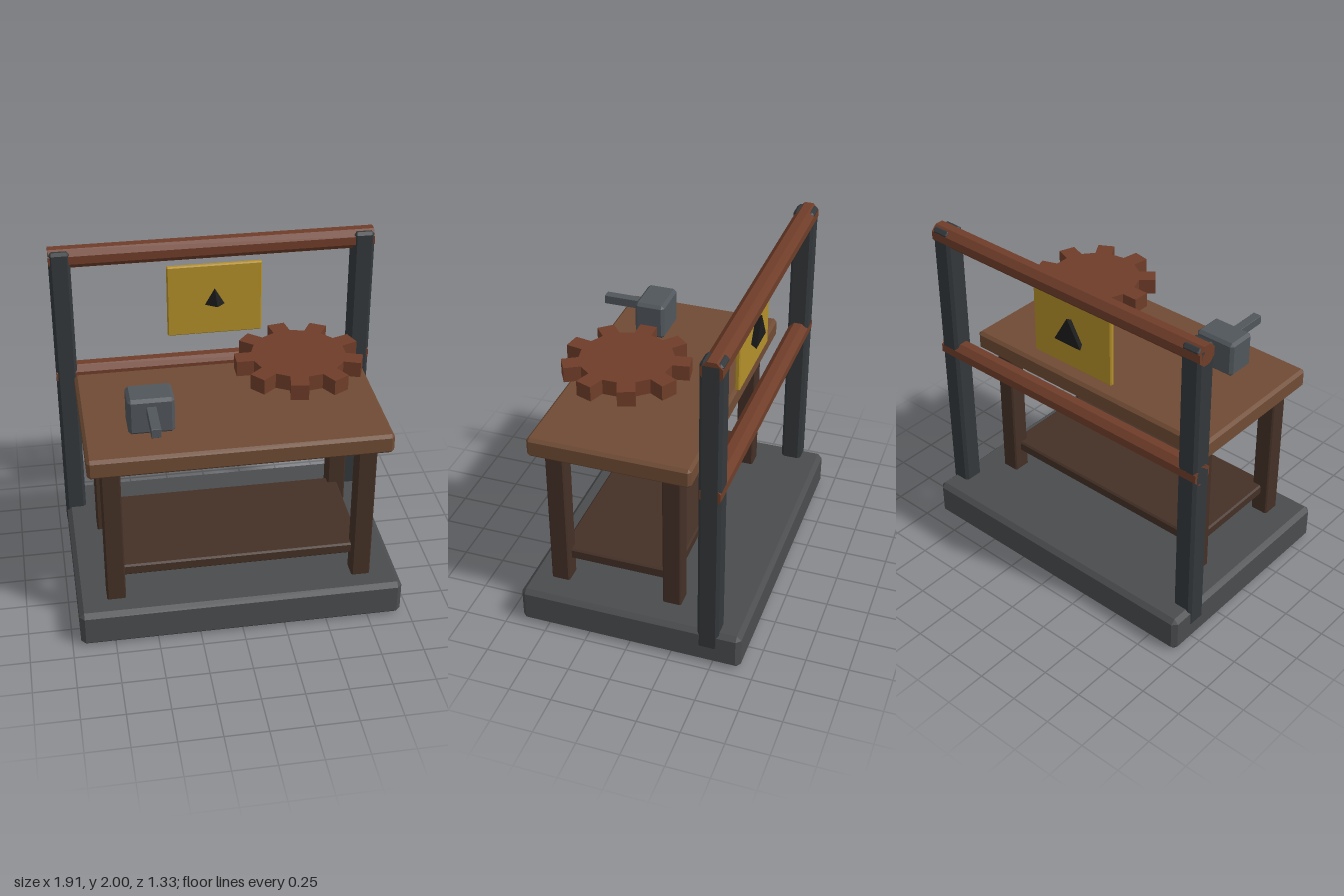
import * as THREE from 'three';
import { ConvexGeometry } from 'three/addons/geometries/ConvexGeometry.js';

const material = (color) => new THREE.MeshStandardMaterial({ color, flatShading: true, roughness: 0.9 });
const MAT = {
  stone: material(0x4a4c4e),
  iron: material(0x34383b),
  rust: material(0x6f3d29),
  wood: material(0x6f4b34),
  darkWood: material(0x443026),
  steel: material(0x50565b),
  brass: material(0xb38f2a),
  black: material(0x1c1c1c),
};

// Box between min and max corners with every edge chamfered by c
function chamferBox([x0, y0, z0], [x1, y1, z1], c) {
  const half = [(x1 - x0) / 2, (y1 - y0) / 2, (z1 - z0) / 2];
  const points = [];
  for (const sx of [-1, 1]) for (const sy of [-1, 1]) for (const sz of [-1, 1]) {
    for (let axis = 0; axis < 3; axis++) {
      const p = half.map((h, i) => (i === axis ? h : h - c));
      points.push(new THREE.Vector3(sx * p[0], sy * p[1], sz * p[2]));
    }
  }
  return new ConvexGeometry(points).translate((x0 + x1) / 2, (y0 + y1) / 2, (z0 + z1) / 2);
}

// Flat gear with straight-sided teeth, lying in the xz plane
function gearGeometry(teeth, root, outer, halfWidth, thickness) {
  const points = [];
  const inner = Math.sqrt(root * root - halfWidth * halfWidth);
  for (let i = 0; i < teeth; i++) {
    const a = Math.PI + (i / teeth) * Math.PI * 2;
    for (const [r, w] of [[inner, -halfWidth], [outer, -halfWidth], [outer, halfWidth], [inner, halfWidth]]) {
      points.push(new THREE.Vector2(r, w).rotateAround(new THREE.Vector2(), a));
    }
  }
  return new THREE.ExtrudeGeometry(new THREE.Shape(points), { depth: thickness, bevelEnabled: false })
    .rotateX(-Math.PI / 2);
}

export function createModel() {
  const model = new THREE.Group();
  model.name = 'workbench';
  const add = (name, geometry, mat) => {
    const mesh = new THREE.Mesh(geometry, mat);
    mesh.name = name;
    model.add(mesh);
    return mesh;
  };

  // Plinth
  add('base', chamferBox([-0.95, 0, -0.665], [0.95, 0.225, 0.665], 0.027), MAT.stone);

  // Bench: top, four legs and lower shelf
  add('benchTop', chamferBox([-0.855, 1.12, -0.34], [0.855, 1.24, 0.61], 0.018), MAT.wood);
  for (const [side, x] of [['Right', -0.725], ['Left', 0.725]]) {
    for (const [end, z] of [['front', 0.48], ['back', -0.205]]) {
      add(`${end}${side}Leg`, chamferBox([x - 0.055, 0.18, z - 0.055], [x + 0.055, 1.14, z + 0.055], 0.008), MAT.darkWood);
    }
  }
  add('shelf', chamferBox([-0.73, 0.35, -0.21], [0.73, 0.42, 0.485], 0.01), MAT.darkWood);

  // Rear frame: two posts joined by octagonal rails
  for (const [name, x] of [['rightPost', -0.893], ['leftPost', 0.893]]) {
    add(name, chamferBox([x - 0.062, 0.105, -0.537], [x + 0.062, 1.99, -0.412], 0.017), MAT.iron);
  }
  for (const [name, y] of [['topRail', 1.94], ['lowerRail', 1.18]]) {
    const rail = new THREE.CylinderGeometry(0.064, 0.064, 1.91, 8).rotateY(Math.PI / 8).rotateZ(Math.PI / 2);
    add(name, rail, MAT.rust).position.set(0, y, -0.478);
  }

  // Hanging plate pierced by a three-sided spike pointing forward
  add('signPlate', chamferBox([-0.282, 1.41, -0.432], [0.282, 1.86, -0.402], 0.007), MAT.brass);
  const spike = new THREE.ConeGeometry(0.11, 0.175, 3).rotateY(Math.PI).rotateX(Math.PI / 2);
  add('spike', spike, MAT.black).position.set(0, 1.638, -0.381);

  // Hammer
  add('hammerHead', chamferBox([-0.605, 1.26, 0.23], [-0.345, 1.48, 0.415], 0.018), MAT.steel);
  add('hammerHandle', chamferBox([-0.502, 1.383, 0.35], [-0.448, 1.437, 0.645], 0.002), MAT.steel);

  // Gear
  add('gear', gearGeometry(9, 0.265, 0.357, 0.05, 0.09), MAT.rust).position.set(0.382, 1.48, 0.188);

  return model;
}
